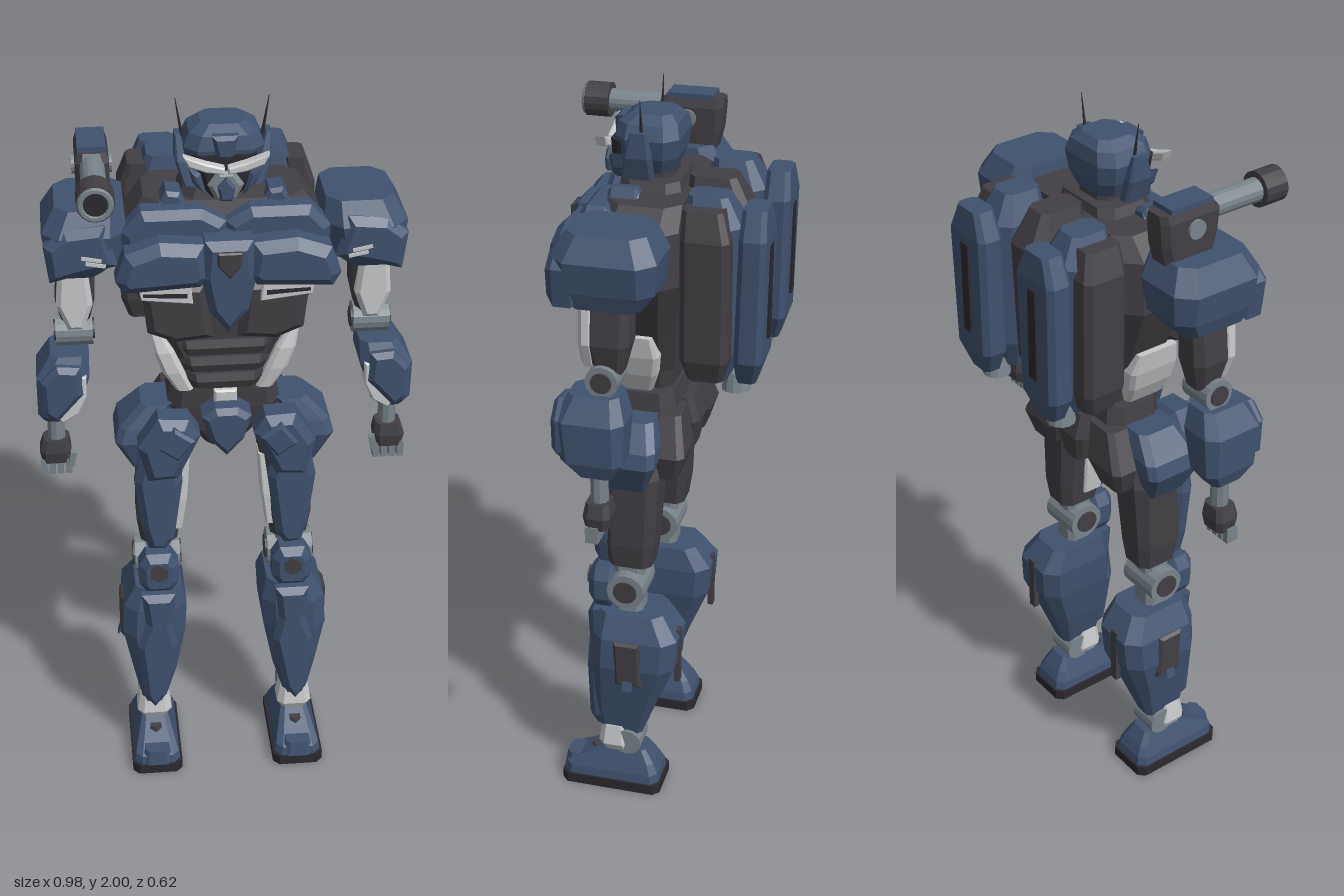
import * as THREE from 'three';

const makeMat = (name, color) => Object.assign(
  new THREE.MeshStandardMaterial({ color, flatShading: true }), { name });

export function createModel() {
  const navy = makeMat('navy armour', 0x40526f);
  const dark = makeMat('charcoal frame', 0x423f44);
  const light = makeMat('light grey', 0xc6c8ca);
  const steel = makeMat('steel joints', 0x78838a);
  const black = makeMat('black trim', 0x2b292e);

  const root = new THREE.Group();
  root.name = 'robot';
  let target = root;

  function add(name, mat, geo) {
    const g = geo.index ? geo.toNonIndexed() : geo;
    g.computeVertexNormals();
    const mesh = new THREE.Mesh(g, mat);
    mesh.name = name;
    target.add(mesh);
    return mesh;
  }

  // Stacked chamfered-rectangle sections, each row: [y, centre x, centre z, half width, half depth]
  function loft(name, mat, rows, chamfer = 0.4) {
    const pos = [], idx = [];
    for (const [y, cx, cz, w, d] of rows) {
      const c = Math.min(w, d) * chamfer;
      for (const [x, z] of [[w, d - c], [w - c, d], [c - w, d], [-w, d - c],
        [-w, c - d], [c - w, -d], [w - c, -d], [w, c - d]]) pos.push(cx + x, y, cz + z);
    }
    const top = (rows.length - 1) * 8;
    for (let r = 0; r < top; r += 8) for (let i = 0; i < 8; i++) {
      const j = (i + 1) % 8;
      idx.push(r + i, r + 8 + i, r + j, r + j, r + 8 + i, r + 8 + j);
    }
    for (let i = 1; i < 7; i++) idx.push(0, i, i + 1, top, top + i + 1, top + i);
    const g = new THREE.BufferGeometry();
    g.setAttribute('position', new THREE.Float32BufferAttribute(pos, 3));
    g.setIndex(idx);
    return add(name, mat, g);
  }

  const extrude = (pts, depth, bevel) => new THREE.ExtrudeGeometry(
    new THREE.Shape(pts.map(p => new THREE.Vector2(...p))),
    { depth: depth - 2 * bevel, bevelEnabled: bevel > 0, bevelThickness: bevel, bevelSize: bevel, bevelOffset: -bevel, bevelSegments: 1 }
  ).translate(0, 0, bevel);
  // Plate facing +z between z0 and z1, outline in (x, y)
  const plate = (name, mat, pts, z0, z1, bevel = 0.01) =>
    add(name, mat, extrude(pts, z1 - z0, bevel).translate(0, 0, z0));
  // Plate facing +x between x0 and x1, outline in (z, y)
  const sidePlate = (name, mat, pts, x0, x1, bevel = 0.008) =>
    add(name, mat, extrude(pts.map(([z, y]) => [-z, y]), x1 - x0, bevel).rotateY(Math.PI / 2).translate(x0, 0, 0));
  const box = (name, mat, w, h, d, x, y, z, rz = 0) =>
    add(name, mat, new THREE.BoxGeometry(w, h, d).rotateZ(rz).translate(x, y, z));
  function cyl(name, mat, r, len, axis, x, y, z, r2 = r, sides = 16) {
    const g = new THREE.CylinderGeometry(r, r2, len, sides);
    if (axis === 'x') g.rotateZ(-Math.PI / 2);
    if (axis === 'z') g.rotateX(Math.PI / 2);
    return add(name, mat, g.translate(x, y, z));
  }

  // Builds a part on the left (+x) and its mirror image on the right
  function pair(name, build) {
    const left = new THREE.Group(), right = new THREE.Group();
    left.name = 'left ' + name;
    right.name = 'right ' + name;
    root.add(left, right);
    target = left;
    build();
    target = right;
    for (const m of left.children) {
      const g = m.geometry.clone(), p = g.attributes.position, v = new THREE.Vector3(), w = new THREE.Vector3();
      for (let i = 0; i < p.count; i += 3) {
        p.setX(i, -p.getX(i));
        v.fromBufferAttribute(p, i + 1);
        w.fromBufferAttribute(p, i + 2);
        p.setXYZ(i + 1, -w.x, w.y, w.z);
        p.setXYZ(i + 2, -v.x, v.y, v.z);
      }
      add(m.name, m.material, g);
    }
    target = root;
  }

  // Head
  loft('neck', dark, [[1.72, 0, 0.02, 0.06, 0.05], [1.82, 0, 0.02, 0.055, 0.05]]);
  loft('collar', dark, [[1.74, 0, 0.02, 0.12, 0.085], [1.785, 0, 0.02, 0.1, 0.075]]);
  loft('helmet', navy, [[1.8, 0, 0.03, 0.07, 0.06], [1.84, 0, 0.03, 0.09, 0.075], [1.89, 0, 0.03, 0.1, 0.082],
    [1.925, 0, 0.03, 0.085, 0.075], [1.945, 0, 0.025, 0.055, 0.05]]);
  loft('face', black, [[1.765, 0, 0.08, 0.03, 0.035], [1.8, 0, 0.08, 0.06, 0.045], [1.88, 0, 0.075, 0.08, 0.05]]);
  plate('face guard', steel, [[-0.025, 1.77], [0.025, 1.77], [0.045, 1.81], [0.02, 1.845], [-0.02, 1.845], [-0.045, 1.81]], 0.11, 0.14);
  plate('chin', navy, [[-0.015, 1.775], [0.015, 1.775], [0.022, 1.81], [0, 1.835], [-0.022, 1.81]], 0.135, 0.155, 0.006);
  plate('crest', navy, [[-0.02, 1.865], [0.02, 1.865], [0.032, 1.93], [-0.032, 1.93]], 0.08, 0.125);
  pair('head side', () => {
    plate('brow', light, [[0.004, 1.845], [0.05, 1.852], [0.092, 1.868], [0.105, 1.895], [0.05, 1.875], [0.004, 1.862]], 0.125, 0.155, 0.004);
    loft('ear guard', navy, [[1.79, 0.085, 0.05, 0.015, 0.04], [1.85, 0.102, 0.045, 0.018, 0.035], [1.915, 0.112, 0.04, 0.007, 0.02]]);
    plate('cheek', navy, [[0.045, 1.775], [0.08, 1.81], [0.09, 1.85], [0.06, 1.835]], 0.06, 0.125);
    add('antenna', black, new THREE.CylinderGeometry(0.001, 0.005, 0.1, 6).rotateZ(-0.16).translate(0.107, 1.95, 0.035));
  });

  // Torso
  loft('torso', dark, [[1.19, 0, 0.03, 0.1, 0.07], [1.27, 0, 0.035, 0.115, 0.08], [1.42, 0, 0.03, 0.185, 0.095],
    [1.56, 0, 0.02, 0.25, 0.11], [1.7, 0, 0.02, 0.245, 0.105], [1.76, 0, 0.01, 0.2, 0.095]]);
  [[1.23, 0.1], [1.28, 0.115], [1.33, 0.125]].forEach(([y, w]) =>
    loft('abdomen plate', dark, [[y, 0, 0.07, w - 0.012, 0.055], [y + 0.025, 0, 0.07, w, 0.065], [y + 0.046, 0, 0.07, w, 0.058]]));
  plate('chest keel', navy, [[0, 1.445], [0.05, 1.51], [0.068, 1.6], [0.06, 1.7], [-0.06, 1.7], [-0.068, 1.6], [-0.05, 1.51]], 0.1, 0.235, 0.02);
  plate('chest gem', dark, [[0, 1.61], [0.03, 1.645], [0.03, 1.68], [-0.03, 1.68], [-0.03, 1.645]], 0.225, 0.246, 0.004);
  pair('torso side', () => {
    plate('upper chest', navy, [[0, 1.6], [0.25, 1.58], [0.26, 1.7], [0.21, 1.755], [0.06, 1.755], [0, 1.72]], 0.08, 0.165, 0.02);
    plate('breast plate', navy, [[0.045, 1.6], [0.07, 1.575], [0.26, 1.565], [0.28, 1.6], [0.255, 1.67], [0.17, 1.7], [0.06, 1.69]], 0.13, 0.235, 0.025);
    plate('collar plate', navy, [[0.09, 1.74], [0.17, 1.74], [0.145, 1.785], [0.11, 1.78]], 0.03, 0.11);
    plate('rib', dark, [[0.03, 1.39], [0.13, 1.38], [0.2, 1.41], [0.215, 1.55], [0.05, 1.55]], 0.09, 0.155, 0.02);
    plate('vent', light, [[0.085, 1.505], [0.215, 1.52], [0.222, 1.55], [0.09, 1.555]], 0.15, 0.17, 0.003);
    plate('vent slot', black, [[0.1, 1.524], [0.21, 1.531], [0.21, 1.539], [0.1, 1.536]], 0.169, 0.173, 0);
    loft('waist side', light, [[1.22, 0.105, 0.06, 0.022, 0.055], [1.28, 0.135, 0.055, 0.028, 0.07],
      [1.34, 0.158, 0.05, 0.026, 0.075], [1.4, 0.182, 0.05, 0.012, 0.06]]);
  });

  // Backpack
  loft('backpack core', dark, [[1.3, 0, -0.11, 0.045, 0.06], [1.37, 0, -0.14, 0.066, 0.085], [1.7, 0, -0.15, 0.066, 0.088], [1.79, 0, -0.13, 0.04, 0.06]]);
  pair('thruster', () => {
    loft('inner pod', navy, [[1.3, 0.14, -0.16, 0.045, 0.05], [1.38, 0.14, -0.165, 0.07, 0.07], [1.72, 0.14, -0.165, 0.07, 0.075], [1.79, 0.14, -0.15, 0.04, 0.05]]);
    loft('outer pod', dark, [[1.32, 0.205, -0.16, 0.03, 0.045], [1.38, 0.215, -0.16, 0.04, 0.062], [1.7, 0.215, -0.16, 0.04, 0.062], [1.77, 0.2, -0.15, 0.03, 0.05]]);
    loft('rear pod', navy, [[1.3, 0.145, -0.255, 0.035, 0.025], [1.37, 0.145, -0.265, 0.07, 0.037], [1.7, 0.145, -0.272, 0.075, 0.035], [1.77, 0.145, -0.27, 0.045, 0.03]]);
    box('rear slot', black, 0.03, 0.25, 0.008, 0.145, 1.55, -0.306);
    cyl('nozzle', steel, 0.03, 0.05, 'y', 0.145, 1.295, -0.225, 0.038, 12);
    cyl('nozzle mouth', black, 0.028, 0.006, 'y', 0.145, 1.268, -0.225, 0.028, 12);
  });

  // Pelvis
  loft('pelvis', dark, [[1.02, 0, 0.02, 0.045, 0.05], [1.08, 0, 0.02, 0.09, 0.075], [1.16, 0, 0.025, 0.15, 0.085], [1.22, 0, 0.03, 0.14, 0.08]]);
  loft('tail block', dark, [[1.02, 0, -0.06, 0.035, 0.03], [1.1, 0, -0.065, 0.055, 0.04], [1.17, 0, -0.05, 0.05, 0.035]]);
  plate('buckle', light, [[-0.03, 1.195], [0.03, 1.195], [0.03, 1.23], [-0.03, 1.23]], 0.1, 0.14, 0.005);
  plate('crotch guard', navy, [[0, 1.05], [0.045, 1.1], [0.065, 1.17], [0.03, 1.195], [-0.03, 1.195], [-0.065, 1.17], [-0.045, 1.1]], 0.09, 0.185, 0.015);
  pair('skirt', () => {
    plate('front skirt', navy, [[0.07, 1.12], [0.1, 1.17], [0.18, 1.175], [0.235, 1.09], [0.21, 0.985], [0.13, 0.99]], 0.1, 0.2, 0.022);
    plate('front skirt trim', navy, [[0.085, 1.12], [0.14, 1.16], [0.185, 1.1], [0.13, 1.06]], 0.185, 0.212, 0.008);
    loft('side skirt', navy, [[0.98, 0.225, 0.05, 0.02, 0.055], [1.07, 0.25, 0.045, 0.042, 0.085], [1.11, 0.235, 0.04, 0.045, 0.08], [1.17, 0.175, 0.04, 0.045, 0.06]]);
    loft('rear skirt', dark, [[1.0, 0.15, -0.05, 0.045, 0.03], [1.07, 0.145, -0.06, 0.07, 0.042], [1.17, 0.11, -0.045, 0.05, 0.035]]);
  });

  pair('leg', () => {
    loft('thigh', dark, [[0.73, 0.18, 0.045, 0.05, 0.06], [0.8, 0.18, 0.045, 0.06, 0.07], [1.0, 0.165, 0.04, 0.07, 0.075], [1.1, 0.14, 0.04, 0.06, 0.06]]);
    plate('thigh armour', navy, [[0.14, 0.76], [0.165, 0.725], [0.21, 0.73], [0.228, 0.8], [0.245, 0.95], [0.225, 1.05], [0.14, 1.05], [0.115, 0.95]], 0.085, 0.148, 0.02);
    loft('thigh inner strip', light, [[0.77, 0.128, 0.07, 0.012, 0.03], [0.87, 0.116, 0.07, 0.014, 0.035], [1.0, 0.103, 0.07, 0.01, 0.03]]);
    loft('knee link', steel, [[0.57, 0.185, 0.05, 0.04, 0.04], [0.74, 0.18, 0.05, 0.035, 0.04]]);
    cyl('knee joint', steel, 0.052, 0.125, 'x', 0.185, 0.66, 0.05);
    cyl('knee cap', dark, 0.033, 0.135, 'x', 0.185, 0.66, 0.05);
    plate('knee pad', navy, [[0.13, 0.62], [0.15, 0.59], [0.22, 0.59], [0.24, 0.62], [0.24, 0.68], [0.22, 0.715], [0.15, 0.715], [0.13, 0.68]], 0.08, 0.16, 0.02);
    cyl('knee stud', dark, 0.027, 0.012, 'z', 0.185, 0.665, 0.162, 0.027, 6);
    // Lower leg
    loft('shin', navy, [[0.18, 0.205, 0.07, 0.032, 0.06], [0.3, 0.2, 0.055, 0.062, 0.09], [0.43, 0.2, 0.03, 0.088, 0.118],
      [0.52, 0.195, 0.025, 0.088, 0.12], [0.585, 0.185, 0.04, 0.065, 0.09]]);
    plate('shin guard', navy, [[0.205, 0.175], [0.235, 0.22], [0.25, 0.4], [0.225, 0.48], [0.235, 0.58], [0.14, 0.58], [0.15, 0.48], [0.135, 0.4], [0.17, 0.22]], 0.1, 0.165, 0.018);
    sidePlate('shin side panel', dark, [[-0.005, 0.38], [0.07, 0.38], [0.075, 0.52], [0, 0.52]], 0.27, 0.294);
    plate('shin fin', navy, [[0.26, 0.45], [0.28, 0.45], [0.302, 0.37], [0.27, 0.4]], 0.02, 0.05, 0.003);
    box('calf slot', dark, 0.025, 0.17, 0.016, 0.2, 0.45, -0.087);
    // Ankle and foot
    cyl('ankle joint', steel, 0.04, 0.085, 'x', 0.205, 0.15, 0.05);
    loft('ankle guard', light, [[0.1, 0.205, 0.08, 0.03, 0.035], [0.14, 0.205, 0.09, 0.05, 0.045], [0.2, 0.205, 0.09, 0.04, 0.035]]);
    loft('sole', black, [[0, 0.205, 0.095, 0.072, 0.144], [0.03, 0.205, 0.095, 0.072, 0.144]], 0.25);
    loft('foot', navy, [[0.03, 0.205, 0.095, 0.066, 0.138], [0.055, 0.205, 0.095, 0.062, 0.134], [0.085, 0.205, 0.075, 0.05, 0.1], [0.122, 0.205, 0.055, 0.035, 0.055]], 0.3);
    loft('toe cap', navy, [[0.03, 0.205, 0.2, 0.045, 0.04], [0.075, 0.205, 0.195, 0.035, 0.038]]);
    cyl('foot stud', dark, 0.018, 0.02, 'y', 0.205, 0.095, 0.145, 0.022, 6);
  });

  pair('arm', () => {
    loft('shoulder', navy, [[1.575, 0.37, 0.045, 0.06, 0.09], [1.62, 0.355, 0.045, 0.09, 0.125], [1.7, 0.35, 0.045, 0.105, 0.132], [1.76, 0.335, 0.045, 0.085, 0.1]]);
    plate('shoulder plate', navy, [[0.27, 1.62], [0.36, 1.6], [0.44, 1.58], [0.452, 1.68], [0.4, 1.72], [0.3, 1.73]], 0.1, 0.185, 0.02);
    [0, 1].forEach(i => box('shoulder mark', light, 0.05, 0.009, 0.006, 0.325 + i * 0.01, 1.635 + i * 0.015, 0.186, 0.2));
    loft('upper arm', dark, [[1.4, 0.38, 0.04, 0.032, 0.035], [1.48, 0.38, 0.04, 0.05, 0.055], [1.6, 0.37, 0.04, 0.045, 0.055]]);
    plate('upper arm front', light, [[0.36, 1.41], [0.4, 1.41], [0.428, 1.48], [0.42, 1.58], [0.345, 1.58], [0.335, 1.48]], 0.07, 0.112, 0.012);
    cyl('elbow', steel, 0.042, 0.095, 'x', 0.385, 1.385, 0.05);
    cyl('elbow cap', dark, 0.027, 0.105, 'x', 0.385, 1.385, 0.05);
    loft('forearm', navy, [[1.14, 0.445, 0.06, 0.032, 0.045], [1.18, 0.437, 0.068, 0.052, 0.08], [1.29, 0.42, 0.075, 0.068, 0.09], [1.35, 0.4, 0.07, 0.05, 0.065]]);
    plate('forearm guard', navy, [[0.37, 1.25], [0.375, 1.33], [0.435, 1.335], [0.478, 1.29], [0.475, 1.2], [0.44, 1.17]], 0.12, 0.172, 0.014);
    plate('forearm strip', light, [[0.36, 1.3], [0.372, 1.3], [0.395, 1.24], [0.44, 1.18], [0.425, 1.165], [0.385, 1.19], [0.362, 1.24]], 0.1, 0.158, 0.004);
    // Wrist and hand
    cyl('wrist', steel, 0.024, 0.1, 'y', 0.445, 1.1, 0.055, 0.024, 10);
    loft('palm', dark, [[0.995, 0.45, 0.055, 0.036, 0.03], [1.03, 0.45, 0.055, 0.042, 0.036], [1.065, 0.447, 0.055, 0.034, 0.03]]);
    for (let i = 0; i < 4; i++) box('finger', steel, 0.017, 0.045, 0.034, 0.417 + i * 0.022, 0.982, 0.065);
    box('thumb', steel, 0.016, 0.045, 0.02, 0.406, 1.01, 0.085, 0.2);
  });

  // Shoulder cannon on the right side
  const cx = -0.322, cy = 1.85;
  loft('cannon mount', dark, [[1.74, cx, 0.01, 0.04, 0.07], [1.8, cx, 0.01, 0.042, 0.085], [1.86, cx, 0.01, 0.042, 0.09], [1.882, cx, 0, 0.035, 0.08]]);
  box('cannon cover', navy, 0.07, 0.04, 0.125, cx, 1.875, 0.008);
  cyl('cannon hinge', steel, 0.025, 0.1, 'x', cx, 1.83, 0.015);
  cyl('cannon barrel', steel, 0.031, 0.18, 'z', cx, cy, 0.155);
  cyl('cannon muzzle', dark, 0.046, 0.066, 'z', cx, cy, 0.266);
  add('muzzle rim', steel, new THREE.TorusGeometry(0.036, 0.008, 6, 18).translate(cx, cy, 0.3));
  cyl('cannon bore', black, 0.03, 0.006, 'z', cx, cy, 0.299);

  return root;
}
